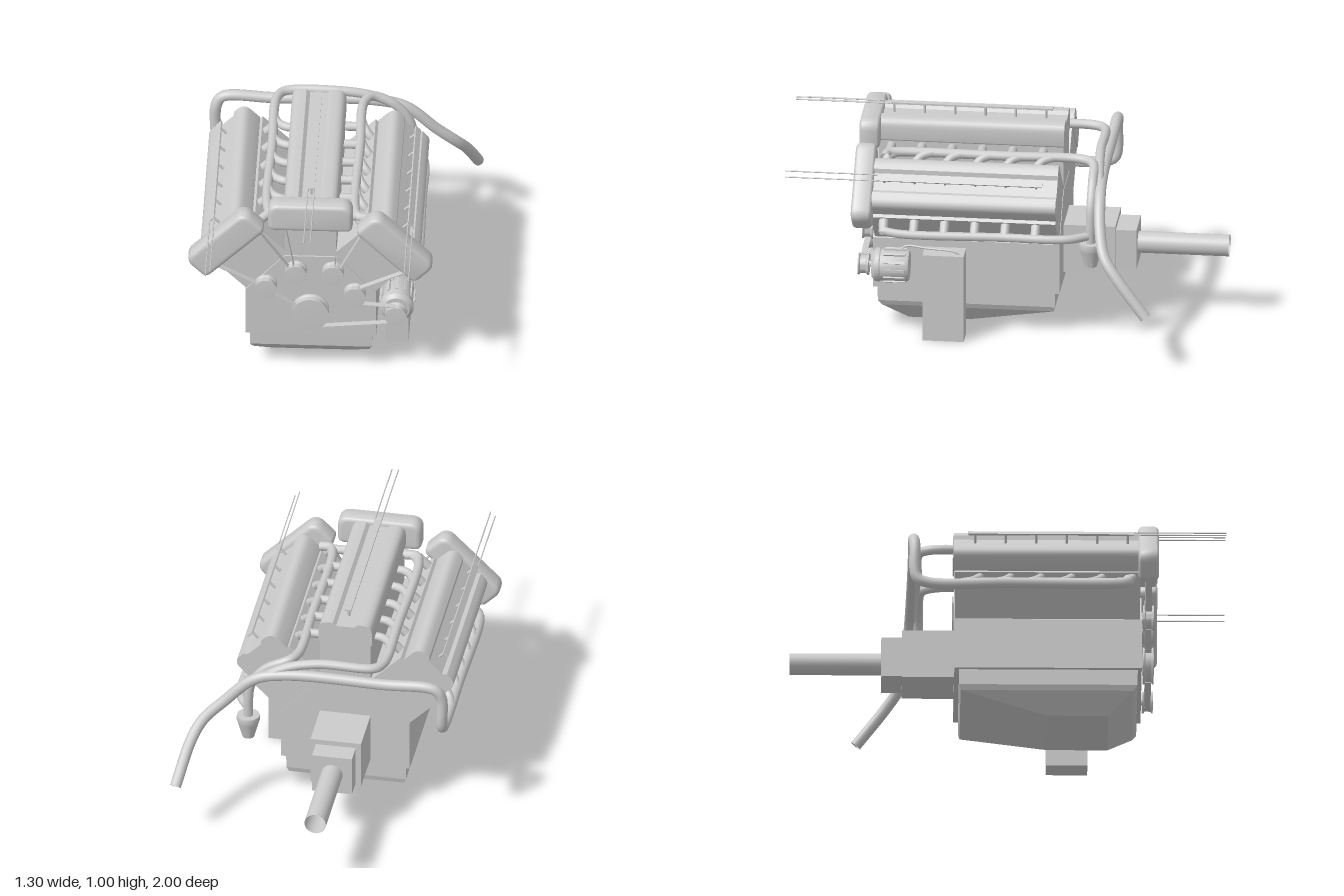
import * as THREE from 'three';
import { toCreasedNormals } from 'three/addons/utils/BufferGeometryUtils.js';
import { ConvexGeometry } from 'three/addons/geometries/ConvexGeometry.js';

const grey = new THREE.MeshStandardMaterial({ color: 0xcccccc });
const greyOpen = new THREE.MeshStandardMaterial({ color: 0xcccccc, side: THREE.DoubleSide });
const CX = -0.088, CY = 0.35; // crankshaft axis
const cylinderZ = Array.from({ length: 6 }, (_, i) => -0.153 + 0.14 * i);

function add(parent, name, geometry, x = 0, y = 0, z = 0, material = grey) {
  const mesh = new THREE.Mesh(geometry, material);
  mesh.name = name;
  mesh.position.set(x, y, z);
  parent.add(mesh);
  return mesh;
}

// Box given by its limits on each axis
function box(parent, name, x0, x1, y0, y1, z0, z1) {
  return add(parent, name, new THREE.BoxGeometry(x1 - x0, y1 - y0, z1 - z0),
    (x0 + x1) / 2, (y0 + y1) / 2, (z0 + z1) / 2);
}

// Smooth pipe through points
function pipe(parent, name, points, radius, segments = 48) {
  const curve = new THREE.CatmullRomCurve3(points.map(p => new THREE.Vector3(...p)), false, 'centripetal');
  return add(parent, name, new THREE.TubeGeometry(curve, segments, radius, 12), 0, 0, 0, greyOpen);
}

// Round part turned about the z axis; profile is [radius, z]
function turnedZ(parent, name, profile, x, y, z) {
  const geo = new THREE.LatheGeometry(profile.map(p => new THREE.Vector2(...p)), 32).rotateX(Math.PI / 2);
  return add(parent, name, toCreasedNormals(geo, 0.6), x, y, z, greyOpen);
}

// Outline with its upper and lower corners rounded
function roundedShape(hw, y0, y1, top, bottom) {
  const s = new THREE.Shape();
  s.moveTo(-hw + bottom, y0);
  s.lineTo(hw - bottom, y0);
  s.quadraticCurveTo(hw, y0, hw, y0 + bottom);
  s.lineTo(hw, y1 - top);
  s.quadraticCurveTo(hw, y1, hw - top, y1);
  return s;
}

// One bank of six cylinders, standing on the crank axis
function cylinderBank(name, angle, halfWidth) {
  const bank = new THREE.Group();
  bank.name = name;
  bank.position.set(CX, CY, 0);
  bank.rotation.z = -angle;
  box(bank, 'cylinderHead', -halfWidth, halfWidth, 0, 0.507, -0.245, 0.605);

  // Long cover with a shallow channel in its top
  const cover = roundedShape(0.125, 0.503, 0.613, 0.045, 0.012);
  cover.lineTo(0.058, 0.613);
  cover.lineTo(0.042, 0.598);
  cover.lineTo(-0.042, 0.598);
  cover.lineTo(-0.058, 0.613);
  cover.lineTo(-0.08, 0.613);
  cover.quadraticCurveTo(-0.125, 0.613, -0.125, 0.568);
  cover.lineTo(-0.125, 0.515);
  cover.quadraticCurveTo(-0.125, 0.503, -0.113, 0.503);
  const coverGeo = new THREE.ExtrudeGeometry(cover, { depth: 0.86, bevelEnabled: false, curveSegments: 6 });
  add(bank, 'valveCover', toCreasedNormals(coverGeo, 0.6), 0, 0, -0.25);

  // Wide timing housing at the front
  const housing = roundedShape(0.173, 0.503, 0.603, 0.03, 0.008);
  housing.lineTo(-0.143, 0.603);
  housing.quadraticCurveTo(-0.173, 0.603, -0.173, 0.573);
  housing.lineTo(-0.173, 0.511);
  housing.quadraticCurveTo(-0.173, 0.503, -0.165, 0.503);
  const housingGeo = new THREE.ExtrudeGeometry(housing,
    { depth: 0.05, bevelThickness: 0.022, bevelSize: 0.022, bevelSegments: 4, curveSegments: 6 });
  add(bank, 'timingHousing', toCreasedNormals(housingGeo, 0.7), 0, 0, 0.618);

  // Fuel rail on short posts, with two thin lines running forward
  box(bank, 'fuelRail', -0.016, 0.016, 0.641, 0.649, -0.185, 0.575);
  for (const z of cylinderZ) {
    add(bank, 'railPost', new THREE.CylinderGeometry(0.006, 0.006, 0.055, 8), 0, 0.617, z);
  }
  for (const x of [-0.015, 0.015]) {
    add(bank, 'fuelLine', new THREE.CylinderGeometry(0.003, 0.003, 0.45, 6).rotateX(Math.PI / 2), x, 0.645, 0.775);
  }

  // Exhaust runners: straight on one side, swept backward on the other
  for (const z of cylinderZ) {
    pipe(bank, 'straightRunner', [[0.1, 0.48, z], [0.205, 0.48, z]], 0.021, 2);
    pipe(bank, 'sweptRunner', [[-0.1, 0.48, z + 0.025], [-0.145, 0.482, z + 0.02],
      [-0.185, 0.482, z - 0.01], [-0.205, 0.48, z - 0.06]], 0.02, 10);
  }
  return bank;
}

export function createModel() {
  const engine = new THREE.Group();
  engine.name = 'engine';

  // Crankcase
  const s = new THREE.Shape([[-0.3, 0.2], [0.3, 0.2], [0.3, 0.445], [0.12, 0.64], [-0.12, 0.64], [-0.3, 0.445]]
    .map(p => new THREE.Vector2(...p)));
  add(engine, 'crankcase', new THREE.ExtrudeGeometry(s, { depth: 0.86, bevelEnabled: false }), CX, 0, -0.247);

  // Oil pan: rectangles shrinking downward, each [y, half width, back z, front z]
  const panPoints = [];
  for (const [y, hw, z0, z1] of [[0.2, 0.28, -0.225, 0.595], [0.125, 0.279, -0.225, 0.593],
    [0.1, 0.268, -0.218, 0.575], [0.01, 0.187, 0.18, 0.46]]) {
    for (const x of [-hw, hw]) {
      panPoints.push(new THREE.Vector3(x, y, z0), new THREE.Vector3(x, y, z1));
    }
  }
  add(engine, 'oilPan', new ConvexGeometry(panPoints), CX);

  // Three banks fanned about the crank
  engine.add(cylinderBank('rightBank', -Math.PI / 4, 0.14));
  engine.add(cylinderBank('centreBank', 0, 0.118));
  engine.add(cylinderBank('leftBank', Math.PI / 4, 0.14));

  // Exhaust: collector pipes and their runs behind the engine
  pipe(engine, 'rightOuterExhaust', [[-0.5, 0.6, 0.55], [-0.56, 0.555, 0.545], [-0.571, 0.544, 0.5],
    [-0.571, 0.544, 0], [-0.571, 0.544, -0.37], [-0.571, 0.57, -0.42], [-0.57, 0.73, -0.43],
    [-0.54, 0.777, -0.435], [-0.3, 0.777, -0.435], [0.15, 0.777, -0.44], [0.3, 0.74, -0.445],
    [0.44, 0.61, -0.46], [0.53, 0.52, -0.49], [0.575, 0.44, -0.55], [0.622, 0.27, -0.69]], 0.026, 150);
  pipe(engine, 'rightValleyExhaust', [[-0.22, 0.83, 0.56], [-0.27, 0.835, 0.555], [-0.292, 0.835, 0.5],
    [-0.292, 0.835, 0], [-0.285, 0.84, -0.36], [-0.25, 0.84, -0.405], [0, 0.84, -0.415],
    [0.15, 0.81, -0.425], [0.28, 0.745, -0.44]], 0.022, 90);
  pipe(engine, 'leftValleyExhaust', [[0.18, 0.83, 0.56], [0.13, 0.833, 0.555], [0.111, 0.833, 0.5],
    [0.111, 0.833, 0], [0.115, 0.835, -0.34], [0.15, 0.83, -0.395], [0.25, 0.78, -0.405],
    [0.32, 0.69, -0.405], [0.335, 0.6, -0.405], [0.335, 0.5, -0.405]], 0.022, 90);
  pipe(engine, 'leftOuterExhaust', [[0.34, 0.6, 0.55], [0.385, 0.558, 0.545], [0.397, 0.547, 0.5],
    [0.397, 0.547, 0], [0.39, 0.547, -0.3], [0.335, 0.547, -0.4]], 0.02, 70);

  // Tapered outlet under the left exhaust
  const outlet = [[0, 0.4], [0.028, 0.4], [0.048, 0.475], [0.055, 0.495], [0.052, 0.515], [0, 0.515]];
  add(engine, 'exhaustOutlet', toCreasedNormals(
    new THREE.LatheGeometry(outlet.map(p => new THREE.Vector2(...p)), 24), 0.6), 0.335, 0, -0.405);

  // Gearbox and output shaft
  box(engine, 'gearbox', CX - 0.118, CX + 0.118, 0.235, 0.47, -0.485, -0.24);
  box(engine, 'gearboxTail', CX - 0.093, CX + 0.093, 0.252, 0.445, -0.58, -0.48);
  add(engine, 'outputShaft', new THREE.CylinderGeometry(0.05, 0.05, 0.45, 32, 1, true).rotateX(Math.PI / 2),
    CX, 0.352, -0.775, greyOpen);

  // Pulleys with a belt groove
  const pulleys = [[CX, CY, 0.085], [-0.155, 0.57, 0.051], [0.015, 0.57, 0.051],
    [-0.293, 0.487, 0.051], [0.115, 0.452, 0.051], [0.305, 0.35, 0.051]];
  for (const [x, y, r] of pulleys) {
    turnedZ(engine, 'pulley', [[0, -0.025], [r, -0.025], [r, -0.018], [r - 0.008, -0.012],
      [r - 0.008, 0.014], [r, 0.02], [r, 0.025], [0, 0.027]], x, y, 0.645);
    turnedZ(engine, 'pulleyAxle', [[0.015, -0.06], [0.015, 0]], x, y, 0.645);
  }

  // Belt runs between the pulleys and the timing housings
  const belts = [[-0.34, 0.51, -0.51, 0.6], [-0.19, 0.605, -0.32, 0.79], [-0.165, 0.61, -0.205, 0.835],
    [0.025, 0.61, 0.03, 0.835], [0.05, 0.605, 0.145, 0.79], [0.14, 0.495, 0.34, 0.59],
    [-0.26, 0.455, -0.155, 0.385], [-0.08, 0.27, 0.29, 0.307], [0.125, 0.408, 0.3, 0.395]];
  for (const [x0, y0, x1, y1] of belts) {
    const belt = add(engine, 'belt', new THREE.BoxGeometry(Math.hypot(x1 - x0, y1 - y0), 0.005, 0.028),
      (x0 + x1) / 2, (y0 + y1) / 2, 0.645);
    belt.rotation.z = Math.atan2(y1 - y0, x1 - x0);
  }

  // Alternator with cooling ribs
  turnedZ(engine, 'alternator', [[0, -0.085], [0.068, -0.085], [0.074, -0.075], [0.074, 0.045],
    [0.078, 0.05], [0.078, 0.07], [0.06, 0.085], [0, 0.085]], 0.305, 0.35, 0.52);
  for (let i = 0; i < 12; i++) {
    const a = i * Math.PI / 6;
    const rib = add(engine, 'alternatorRib', new THREE.BoxGeometry(0.012, 0.012, 0.1),
      0.305 + 0.075 * Math.cos(a), 0.35 + 0.075 * Math.sin(a), 0.5);
    rib.rotation.z = a;
  }

  // Battery box beside the block and its cable
  box(engine, 'batteryBox', 0.242, 0.35, 0, 0.422, 0.18, 0.37);
  pipe(engine, 'batteryCable', [[0.28, 0.42, 0.48], [0.28, 0.437, 0.45], [0.3, 0.437, 0.35],
    [0.32, 0.435, 0.23], [0.32, 0.42, 0.2]], 0.005, 24);

  return engine;
}
